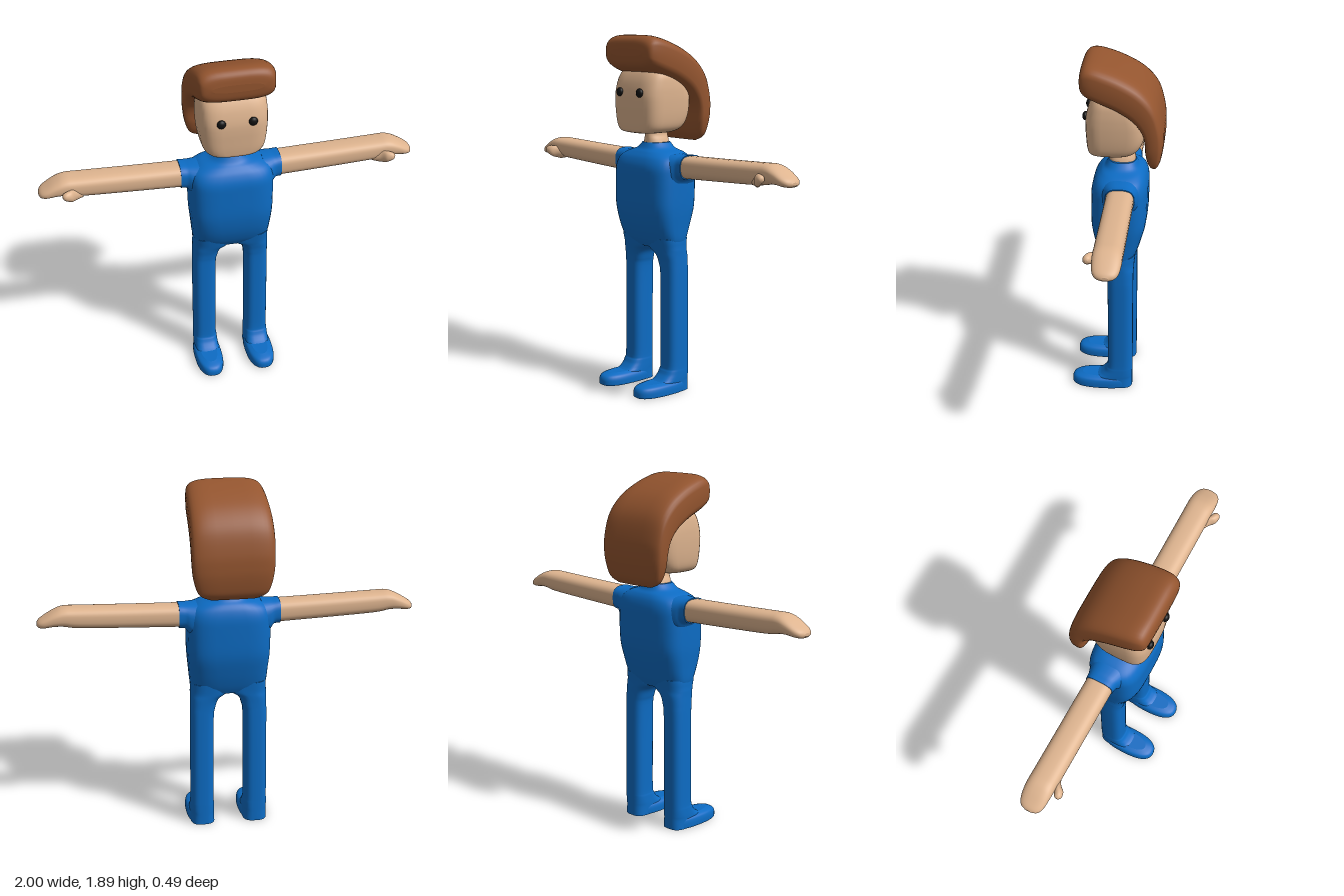
import * as THREE from 'three';

const mat = (name, color) => {
  const m = new THREE.MeshStandardMaterial({ color });
  m.name = name;
  return m;
};

const SIDES = 36, STEPS = 5;

// Catmull-Rom between p1 and p2, kept inside their range so profiles never overshoot
function blend(p0, p1, p2, p3, t) {
  return p1.map((b, k) => {
    const a = p0[k], c = p2[k], d = p3[k];
    const v = 0.5 * (2 * b + (c - a) * t + (2 * a - 5 * b + 4 * c - d) * t * t + (3 * b - a - 3 * c + d) * t * t * t);
    return Math.min(Math.max(v, Math.min(b, c)), Math.max(b, c));
  });
}

// Skin over superellipse rings; each ring = centre xyz, u xyz, v xyz, exponent (u x v points along the path)
function loft(rings) {
  const last = rings.length - 1, all = [];
  for (let i = 0; i < last; i++)
    for (let s = 0; s < STEPS; s++)
      all.push(blend(rings[Math.max(i - 1, 0)], rings[i], rings[i + 1], rings[Math.min(i + 2, last)], s / STEPS));
  all.push(rings[last]);

  const pos = [], idx = [];
  const addRing = (r) => {
    for (let j = 0; j < SIDES; j++) {
      const a = (j / SIDES) * Math.PI * 2, c = Math.cos(a), s = Math.sin(a);
      const p = Math.sign(c) * Math.abs(c) ** (2 / r[9]), q = Math.sign(s) * Math.abs(s) ** (2 / r[9]);
      for (let k = 0; k < 3; k++) pos.push(r[k] + r[3 + k] * p + r[6 + k] * q);
    }
  };
  all.forEach(addRing);
  for (let i = 0; i < all.length - 1; i++)
    for (let j = 0; j < SIDES; j++) {
      const a = i * SIDES + j, b = i * SIDES + (j + 1) % SIDES;
      idx.push(a, b, b + SIDES, a, b + SIDES, a + SIDES);
    }
  // end caps on their own vertices
  [[all[0], true], [all[all.length - 1], false]].forEach(([r, start]) => {
    const base = pos.length / 3;
    addRing(r);
    pos.push(r[0], r[1], r[2]);
    for (let j = 0; j < SIDES; j++) {
      const a = base + j, b = base + (j + 1) % SIDES;
      if (start) idx.push(b, a, base + SIDES); else idx.push(a, b, base + SIDES);
    }
  });
  const g = new THREE.BufferGeometry();
  g.setAttribute('position', new THREE.Float32BufferAttribute(pos, 3));
  g.setIndex(idx);
  g.computeVertexNormals();
  return g;
}

// Upright ring: y, x range, z range
const ringY = ([y, x0, x1, z0, z1, n]) =>
  [(x0 + x1) / 2, y, (z0 + z1) / 2, 0, 0, (z1 - z0) / 2, (x1 - x0) / 2, 0, 0, n];
// Sideways ring: x, y range, z range
const ringX = ([x, y0, y1, z0, z1, n]) =>
  [x, (y0 + y1) / 2, (z0 + z1) / 2, 0, (y1 - y0) / 2, 0, 0, 0, (z1 - z0) / 2, n];
// Hair ring: outer z,y, inner z,y, half width
const ringHair = ([zo, yo, zi, yi, w, n]) =>
  [0, (yo + yi) / 2, (zo + zi) / 2, 0, (yo - yi) / 2, (zo - zi) / 2, w, 0, 0, n];

// Mirrored copy across x with the triangle order flipped
function mirror(g) {
  const m = g.clone().scale(-1, 1, 1);
  const ix = m.index.array;
  for (let i = 0; i < ix.length; i += 3) [ix[i], ix[i + 1]] = [ix[i + 1], ix[i]];
  m.computeVertexNormals();
  return m;
}

export function createModel() {
  const model = new THREE.Group();
  model.name = 'figure';
  const blue = mat('blue cloth', 0x0d6cc4), skin = mat('skin', 0xdeb48f);
  const brown = mat('brown hair', 0x94552f), black = mat('black', 0x111111);

  const add = (name, g, m) => {
    const mesh = new THREE.Mesh(g, m);
    mesh.name = name;
    model.add(mesh);
  };
  const pair = (name, g, m) => {
    add('left' + name, g, m);
    add('right' + name, mirror(g), m);
  };

  // Torso, from crotch to collar
  add('torso', loft([
    [0.775, -0.19, 0.19, -0.085, 0.06, 2.6],
    [0.82, -0.206, 0.206, -0.105, 0.09, 2.8],
    [0.9, -0.213, 0.213, -0.13, 0.12, 3.2],
    [1.0, -0.22, 0.22, -0.152, 0.137, 3.6],
    [1.12, -0.222, 0.222, -0.157, 0.138, 3.6],
    [1.2, -0.222, 0.222, -0.157, 0.135, 3.4],
    [1.25, -0.21, 0.21, -0.147, 0.117, 3],
    [1.28, -0.165, 0.165, -0.13, 0.092, 2.6],
    [1.3, -0.105, 0.105, -0.108, 0.07, 2.3],
    [1.33, -0.07, 0.07, -0.092, 0.052, 2.3],
  ].map(ringY)), blue);

  // Legs, arching together at the top and flaring into the foot
  pair('Leg', loft([
    [0, 0.08, 0.213, -0.09, 0.08, 3],
    [0.05, 0.08, 0.213, -0.09, 0.115, 3],
    [0.075, 0.081, 0.213, -0.09, 0.085, 3],
    [0.11, 0.083, 0.212, -0.09, 0.057, 3],
    [0.18, 0.086, 0.21, -0.09, 0.046, 3],
    [0.6, 0.083, 0.208, -0.09, 0.046, 3],
    [0.69, 0.072, 0.207, -0.09, 0.05, 2.9],
    [0.74, 0.05, 0.206, -0.092, 0.06, 2.8],
    [0.775, 0, 0.206, -0.094, 0.07, 2.7],
    [0.83, 0, 0.204, -0.1, 0.085, 2.7],
  ].map(ringY)), blue);

  pair('Foot', loft([
    [0, 0.074, 0.222, -0.088, 0.24, 2.5],
    [0.008, 0.071, 0.225, -0.09, 0.245, 2.5],
    [0.035, 0.072, 0.224, -0.09, 0.243, 2.5],
    [0.053, 0.08, 0.217, -0.088, 0.228, 2.5],
    [0.064, 0.1, 0.195, -0.075, 0.19, 2.4],
  ].map(ringY)), blue);

  // Short sleeves
  pair('Sleeve', loft([
    [0.17, 1.09, 1.28, -0.125, 0.085, 2.6],
    [0.21, 1.11, 1.279, -0.115, 0.068, 2.6],
    [0.235, 1.145, 1.278, -0.106, 0.053, 2.7],
    [0.268, 1.15, 1.28, -0.103, 0.048, 2.8],
  ].map(ringX)), blue);

  // Arm and mitten hand
  pair('Arm', loft([
    [0.24, 1.155, 1.274, -0.099, 0.044, 2.8],
    [0.5, 1.165, 1.28, -0.099, 0.044, 2.8],
    [0.78, 1.178, 1.288, -0.099, 0.044, 2.8],
    [0.86, 1.19, 1.289, -0.099, 0.044, 2.7],
    [0.91, 1.192, 1.273, -0.098, 0.042, 2.6],
    [0.96, 1.186, 1.245, -0.09, 0.035, 2.4],
    [0.988, 1.187, 1.227, -0.073, 0.018, 2.2],
    [1.0, 1.196, 1.212, -0.045, -0.01, 2],
  ].map(ringX)), skin);

  pair('Thumb', loft([
    [0.775, 1.18, 1.22, 0.0, 0.035, 2],
    [0.81, 1.174, 1.238, 0.0, 0.054, 2],
    [0.835, 1.182, 1.246, 0.025, 0.08, 2],
    [0.86, 1.195, 1.246, 0.042, 0.088, 2],
    [0.876, 1.205, 1.24, 0.05, 0.085, 2],
    [0.884, 1.217, 1.23, 0.062, 0.074, 2],
  ].map(ringX)), skin);

  add('neck', loft([
    [1.31, -0.062, 0.062, -0.088, 0.048, 2.4],
    [1.345, -0.05, 0.05, -0.088, 0.048, 2.4],
    [1.375, -0.038, 0.038, -0.086, 0.048, 2.4],
    [1.43, -0.038, 0.038, -0.086, 0.048, 2.4],
  ].map(ringY)), skin);

  // Head, tucked under the hair at the top and back
  add('head', loft([
    [1.384, -0.085, 0.085, -0.03, 0.125, 3],
    [1.393, -0.13, 0.13, -0.07, 0.15, 3.4],
    [1.42, -0.158, 0.158, -0.11, 0.157, 3.8],
    [1.48, -0.171, 0.171, -0.138, 0.162, 4],
    [1.57, -0.177, 0.177, -0.145, 0.165, 4],
    [1.64, -0.175, 0.175, -0.12, 0.152, 3.8],
    [1.69, -0.165, 0.165, -0.08, 0.132, 3.4],
    [1.73, -0.13, 0.13, -0.03, 0.105, 3],
  ].map(ringY)), skin);

  // Swept-back hair, from the fringe over the crown to the nape
  add('hair', loft([
    [0.187, 1.825, 0.187, 1.785, 0.13, 2.5],
    [0.178, 1.868, 0.178, 1.742, 0.178, 3.2],
    [0.145, 1.892, 0.148, 1.716, 0.197, 3.8],
    [0.08, 1.885, 0.09, 1.69, 0.206, 4],
    [-0.03, 1.845, 0.005, 1.655, 0.211, 4],
    [-0.13, 1.785, -0.075, 1.605, 0.214, 4],
    [-0.2, 1.7, -0.12, 1.55, 0.215, 4],
    [-0.234, 1.58, -0.138, 1.5, 0.214, 4],
    [-0.24, 1.48, -0.142, 1.44, 0.208, 3.8],
    [-0.228, 1.39, -0.152, 1.385, 0.19, 3.4],
    [-0.215, 1.355, -0.168, 1.355, 0.165, 3],
    [-0.2, 1.336, -0.185, 1.336, 0.12, 2.5],
  ].map(ringHair)), brown);

  // Eyes
  const eye = new THREE.SphereGeometry(0.023, 20, 14).scale(1, 1, 0.7).translate(0.081, 1.597, 0.162);
  pair('Eye', eye, black);

  return model;
}
